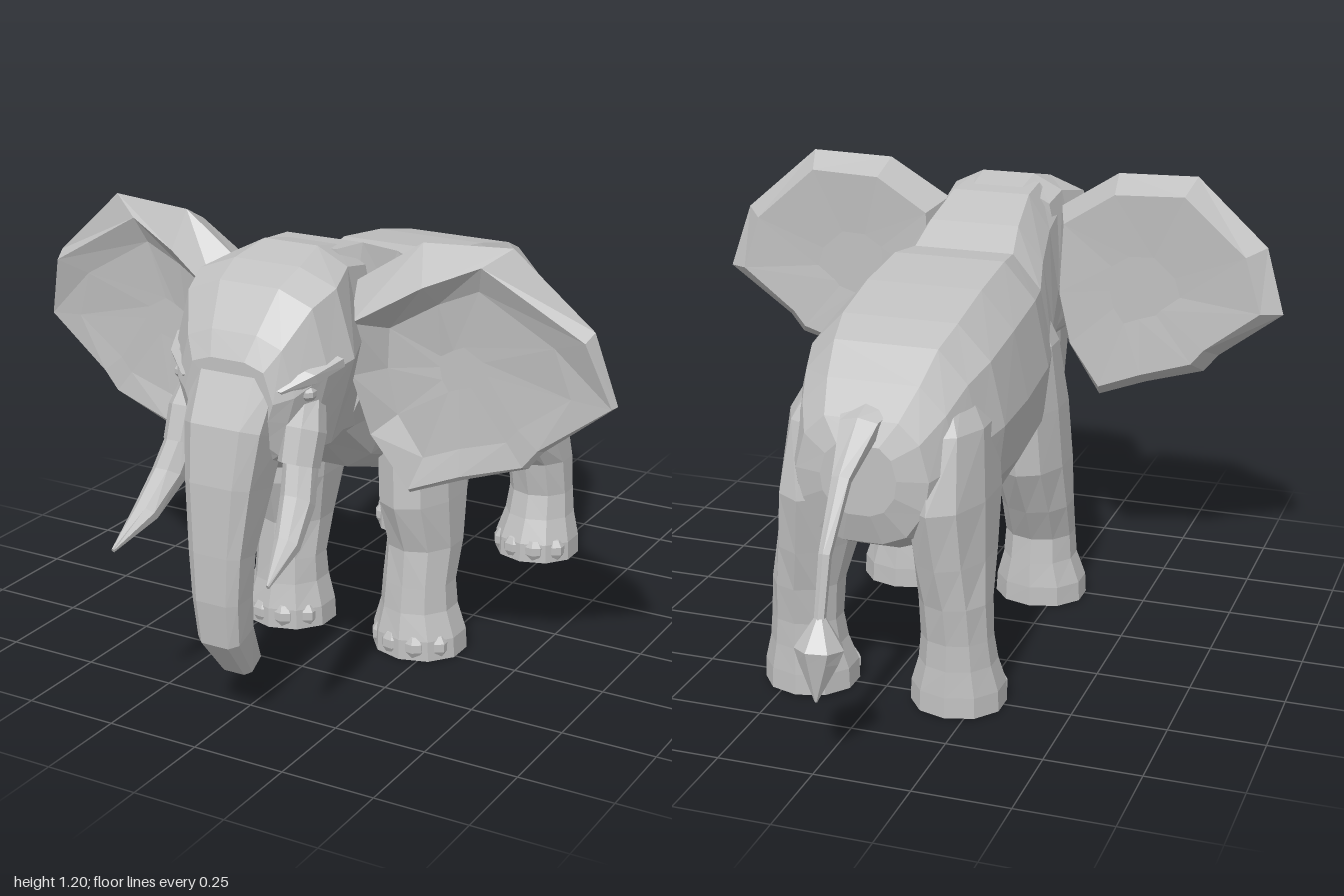
import * as THREE from 'three';

const hide = new THREE.MeshStandardMaterial({ color: 0xc0c0c0, flatShading: true });
hide.name = 'grey hide';

// Skin a stack of equal-length rings of [x, y, z], cap both ends, and face it outward.
function loft(name, rings) {
  const tris = [];
  const n = rings[0].length;
  for (let i = 0; i < rings.length - 1; i++) {
    for (let j = 0; j < n; j++) {
      const k = (j + 1) % n;
      const a = rings[i][j], b = rings[i][k], c = rings[i + 1][k], d = rings[i + 1][j];
      tris.push([a, b, c], [a, c, d]);
    }
  }
  const cap = (ring, flip) => {
    const mid = [0, 1, 2].map((q) => ring.reduce((s, p) => s + p[q], 0) / n);
    ring.forEach((p, j) => {
      const r = ring[(j + 1) % n];
      tris.push(flip ? [mid, r, p] : [mid, p, r]);
    });
  };
  cap(rings[0], true);
  cap(rings[rings.length - 1], false);
  let volume = 0;
  for (const [a, b, c] of tris) {
    volume += a[0] * (b[1] * c[2] - b[2] * c[1]) + a[1] * (b[2] * c[0] - b[0] * c[2])
      + a[2] * (b[0] * c[1] - b[1] * c[0]);
  }
  const out = tris.map(([a, b, c]) => (volume < 0 ? [a, c, b] : [a, b, c]));
  const geo = new THREE.BufferGeometry();
  geo.setAttribute('position', new THREE.Float32BufferAttribute(out.flat(2), 3));
  geo.computeVertexNormals();
  const mesh = new THREE.Mesh(geo, hide);
  mesh.name = name;
  return mesh;
}

// Upright sections along z: [z, top, bottom, half width], with a half profile of fractions.
function sections(name, profile, list) {
  return loft(name, list.map(([z, top, bottom, w]) => {
    const half = profile.map(([fx, fy]) => [fx * w, bottom + fy * (top - bottom), z]);
    return [...half, ...half.slice().reverse().map(([x, y]) => [-x, y, z])];
  }));
}

// Level sections: [y, x, z, half width, half depth].
function column(name, side, sides, list) {
  return loft(name, list.map(([y, x, z, rx, rz]) => Array.from({ length: sides }, (_, j) => {
    const a = ((j + 0.5) / sides) * Math.PI * 2;
    return [side * (x + Math.cos(a) * rx * 1.04), y, z + Math.sin(a) * rz];
  })));
}

// Tube with sections square to its path in the yz plane: [x, y, z, half width, half thickness].
// A lower roundness gives flatter faces.
function taper(name, side, sides, list, roundness = 1) {
  const bend = (v) => Math.sign(v) * Math.abs(v) ** roundness;
  return loft(name, list.map(([x, y, z, rx, rt], i) => {
    const p = list[Math.max(0, i - 1)], q = list[Math.min(list.length - 1, i + 1)];
    const dy = q[1] - p[1], dz = q[2] - p[2], len = Math.hypot(dy, dz);
    return Array.from({ length: sides }, (_, j) => {
      const a = ((j + 0.5) / sides) * Math.PI * 2, t = bend(Math.sin(a)) * rt * 1.04;
      return [side * (x + bend(Math.cos(a)) * rx * 1.04), y + (t * dz) / len, z - (t * dy) / len];
    });
  }));
}

function ball(name, x, y, z, sx, sy, sz) {
  const mesh = new THREE.Mesh(new THREE.SphereGeometry(1, 7, 5), hide);
  mesh.name = name;
  mesh.position.set(x, y, z);
  mesh.scale.set(sx, sy, sz);
  return mesh;
}

// Ear: recessed front, raised front rim, outer edge, and bulging back.
function ear(side) {
  const edge = [[0.17, 1.08, 0.49], [0.34, 1.19, 0.47], [0.57, 1.2, 0.45], [0.775, 1.02, 0.43],
    [0.83, 0.84, 0.41], [0.65, 0.7, 0.43], [0.61, 0.65, 0.43], [0.44, 0.595, 0.45],
    [0.3, 0.54, 0.46], [0.2, 0.68, 0.48], [0.16, 0.85, 0.48]];
  const rim = [[0.19, 0.99, 0.56], [0.36, 1.09, 0.515], [0.5, 1.15, 0.48], [0.765, 1.0, 0.465],
    [0.82, 0.835, 0.425], [0.64, 0.705, 0.445], [0.6, 0.655, 0.445], [0.435, 0.605, 0.46],
    [0.3, 0.55, 0.47], [0.21, 0.69, 0.5], [0.18, 0.85, 0.54]];
  const pull = (ring, s, z, mix) => ring.map(([x, y, pz]) =>
    [0.42 + (x - 0.42) * s, 0.88 + (y - 0.88) * s, pz + (z - pz) * mix]);
  const rings = [pull(rim, 0.2, 0.44, 1), pull(rim, 0.75, 0.44, 0.75), rim, edge,
    pull(edge, 0.86, 0.365, 0.85), pull(edge, 0.3, 0.39, 1)];
  return loft(side > 0 ? 'leftEar' : 'rightEar',
    rings.map((r) => r.map(([x, y, z]) => [side * x, y, z])));
}

// Four toenails around the front of a foot
function toes(side, x, z, name) {
  const group = new THREE.Group();
  group.name = name;
  for (let i = 0; i < 4; i++) {
    const a = Math.PI * (0.2 + 0.2 * i);
    group.add(ball('toenail', side * (x + Math.cos(a) * 0.1), 0.04, z + Math.sin(a) * 0.096,
      0.034, 0.037, 0.027));
  }
  return group;
}

export function createModel() {
  const model = new THREE.Group();
  model.name = 'elephant';

  // Torso and neck
  model.add(sections('body',
    [[0.55, 1], [0.86, 0.84], [1, 0.55], [0.94, 0.3], [0.66, 0.08], [0.3, 0]], [
      [-0.68, 0.73, 0.55, 0.1], [-0.655, 0.79, 0.47, 0.175], [-0.57, 0.86, 0.43, 0.22],
      [-0.48, 0.93, 0.405, 0.25], [-0.38, 0.97, 0.4, 0.28], [-0.2, 1.01, 0.385, 0.285],
      [0.0, 1.035, 0.415, 0.28], [0.12, 1.025, 0.44, 0.255], [0.21, 1.08, 0.48, 0.23],
      [0.36, 1.135, 0.53, 0.2], [0.48, 1.145, 0.64, 0.19],
    ]));

  // Head, narrowing to the flat forehead
  model.add(sections('head',
    [[0.38, 1], [0.8, 0.92], [1, 0.58], [0.88, 0.38], [0.72, 0.12], [0.4, 0]], [
      [0.42, 1.14, 0.62, 0.19], [0.52, 1.16, 0.635, 0.2], [0.63, 1.135, 0.645, 0.242],
      [0.71, 1.1, 0.65, 0.218], [0.78, 1.0, 0.67, 0.165], [0.812, 0.94, 0.72, 0.125],
    ]));

  // Trunk
  model.add(taper('trunk', 1, 8, [
    [0, 0.88, 0.73, 0.118, 0.085], [0, 0.76, 0.79, 0.107, 0.088], [0, 0.63, 0.82, 0.092, 0.08],
    [0, 0.465, 0.857, 0.074, 0.053], [0, 0.35, 0.86, 0.066, 0.052],
    [0, 0.25, 0.85, 0.06, 0.054], [0, 0.145, 0.787, 0.046, 0.038],
  ], 0.5));

  // Tail with tuft
  model.add(taper('tail', 1, 6, [
    [0, 0.81, -0.58, 0.085, 0.02], [0, 0.775, -0.66, 0.055, 0.03], [0, 0.68, -0.785, 0.025, 0.02],
    [0, 0.53, -0.895, 0.016, 0.016], [0, 0.37, -0.938, 0.014, 0.014],
  ]));
  model.add(taper('tailTuft', 1, 7, [
    [0, 0.385, -0.934, 0.014, 0.014], [0, 0.31, -0.94, 0.06, 0.058],
    [0, 0.275, -0.947, 0.048, 0.046], [0, 0.18, -0.97, 0.003, 0.003],
  ]));

  for (const side of [1, -1]) {
    model.add(ear(side));

    // Legs and feet
    model.add(column('frontLeg', side, 10, [
      [0.005, 0.203, 0.225, 0.125, 0.118], [0.06, 0.203, 0.225, 0.122, 0.117],
      [0.13, 0.2, 0.222, 0.1, 0.105], [0.2, 0.2, 0.222, 0.095, 0.096],
      [0.3, 0.2, 0.19, 0.096, 0.117], [0.43, 0.19, 0.175, 0.1, 0.17],
      [0.6, 0.178, 0.165, 0.1, 0.165], [0.78, 0.165, 0.14, 0.094, 0.12],
      [0.92, 0.13, 0.15, 0.06, 0.07],
    ]));
    model.add(column('hindLeg', side, 10, [
      [0.005, 0.203, -0.51, 0.12, 0.118], [0.06, 0.203, -0.51, 0.118, 0.116],
      [0.13, 0.205, -0.52, 0.098, 0.1], [0.2, 0.205, -0.528, 0.09, 0.09],
      [0.3, 0.2, -0.525, 0.09, 0.105], [0.41, 0.185, -0.485, 0.097, 0.165],
      [0.56, 0.17, -0.45, 0.105, 0.22], [0.74, 0.155, -0.43, 0.105, 0.18],
      [0.86, 0.12, -0.42, 0.075, 0.1],
    ]));
    model.add(toes(side, 0.203, 0.225, 'frontToes'), toes(side, 0.203, -0.51, 'hindToes'));

    // Tusks in their sockets
    model.add(taper('tuskSocket', side, 8, [
      [0.155, 0.84, 0.7, 0.04, 0.045], [0.163, 0.77, 0.735, 0.053, 0.053],
      [0.165, 0.69, 0.765, 0.05, 0.05],
    ]));
    model.add(taper('tusk', side, 8, [
      [0.165, 0.72, 0.75, 0.042, 0.042], [0.185, 0.615, 0.805, 0.043, 0.04],
      [0.203, 0.535, 0.885, 0.033, 0.028], [0.22, 0.475, 0.998, 0.004, 0.006],
    ]));

    // Eye under its slanting brow
    model.add(ball('eye', side * 0.18, 0.865, 0.74, 0.02, 0.02, 0.022));
    model.add(taper('brow', side, 5, [
      [0.222, 0.93, 0.67, 0.018, 0.018], [0.185, 0.905, 0.745, 0.024, 0.02],
      [0.125, 0.87, 0.795, 0.018, 0.015],
    ]));
  }
  return model;
}
